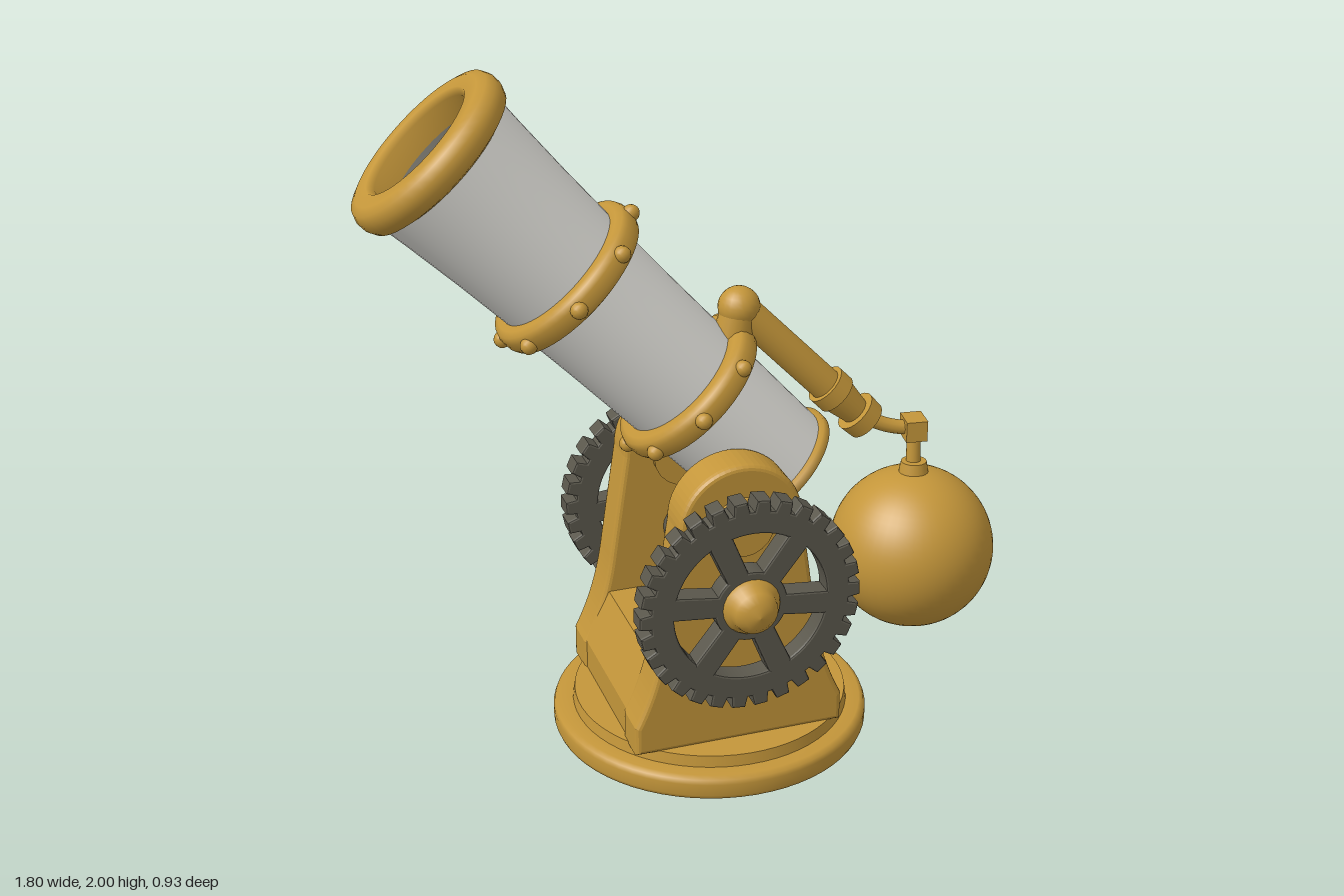
import * as THREE from 'three';

const mat = (name, color) => {
  const m = new THREE.MeshStandardMaterial({ color });
  m.name = name;
  return m;
};
const V = (x, y, z = 0) => new THREE.Vector3(x, y, z);

export function createModel() {
  const brass = mat('brass', 0xc4963a);
  const white = mat('white enamel', 0xe2e1db);
  const iron = mat('dark iron', 0x5b584d);
  const shade = mat('bore grey', 0x85837a);

  const root = new THREE.Group();
  root.name = 'telescopeCannon';
  const add = (parent, name, geo, material, x = 0, y = 0, z = 0) => {
    const m = new THREE.Mesh(geo, material);
    m.name = name;
    m.position.set(x, y, z);
    parent.add(m);
    return m;
  };
  const group = (name, x, y, z) => {
    const g = new THREE.Group();
    g.name = name;
    g.position.set(x, y, z);
    root.add(g);
    return g;
  };
  const lathe = (pts, seg = 48) => new THREE.LatheGeometry(pts.map(p => new THREE.Vector2(p[0], p[1])), seg);
  // Hoop with rounded outer edges, centred on y = 0
  const hoop = (ri, ro, h, b) => lathe([
    [ri, -h / 2], [ro - b, -h / 2], [ro - b * 0.3, -h / 2 + b * 0.3], [ro, -h / 2 + b],
    [ro, h / 2 - b], [ro - b * 0.3, h / 2 - b * 0.3], [ro - b, h / 2], [ri + b * 0.4, h / 2],
    [ri, h / 2 - b * 0.5], [ri, -h / 2]]);
  // Straight round bar between two points
  const rod = (parent, name, a, b, r1, r2, material) => {
    const d = b.clone().sub(a);
    const m = add(parent, name, new THREE.CylinderGeometry(r2, r1, d.length(), 20), material);
    m.position.copy(a).addScaledVector(d, 0.5);
    m.quaternion.setFromUnitVectors(V(0, 1), d.normalize());
    return m;
  };

  // Round base with a stepped top
  add(root, 'baseDisc', lathe([[0, 0], [0.445, 0], [0.458, 0.008], [0.463, 0.02], [0.463, 0.055],
    [0.458, 0.068], [0.445, 0.077], [0.4, 0.077]], 64), brass, 0.06);
  add(root, 'baseStep', new THREE.CylinderGeometry(0.4, 0.408, 0.05, 64), brass, 0.06, 0.086);

  // Turned carriage: two cheeks, a solid foot, axle and gears
  const carriage = group('carriage', 0.045, 0, 0);
  carriage.rotation.y = 0.14;

  const cheek = new THREE.Shape();
  cheek.moveTo(-0.295, 0.12);
  cheek.lineTo(0.295, 0.12);
  cheek.lineTo(0.295, 0.19);
  cheek.quadraticCurveTo(0.23, 0.32, 0.21, 0.48);
  cheek.lineTo(0.165, 0.79);
  cheek.absarc(0, 0.79, 0.165, 0, Math.PI, false);
  cheek.lineTo(-0.21, 0.48);
  cheek.quadraticCurveTo(-0.23, 0.32, -0.295, 0.19);
  cheek.closePath();
  const cheekGeo = new THREE.ExtrudeGeometry(cheek, {
    depth: 0.09, bevelThickness: 0.018, bevelSize: 0.015, bevelSegments: 3, curveSegments: 16 });
  cheekGeo.translate(0, 0, -0.045);

  const foot = new THREE.Shape([[-0.305, 0.1], [0.305, 0.1], [0.305, 0.2], [0.235, 0.36], [-0.235, 0.36], [-0.305, 0.2]]
    .map(p => new THREE.Vector2(p[0], p[1])));
  const footGeo = new THREE.ExtrudeGeometry(foot, { depth: 0.44, bevelEnabled: false });
  footGeo.translate(0, 0, -0.22);
  add(carriage, 'foot', footGeo, brass);

  // Spoked gear outline with trapezoid teeth and six windows
  const gear = new THREE.Shape();
  const teeth = 30;
  for (let i = 0; i < teeth; i++) {
    [[-0.32, 0.284], [-0.22, 0.316], [0.22, 0.316], [0.32, 0.284]].forEach(([o, r], k) => {
      const a = (i + o) / teeth * Math.PI * 2;
      gear[i + k ? 'lineTo' : 'moveTo'](Math.cos(a) * r, Math.sin(a) * r);
    });
  }
  gear.closePath();
  for (let i = 0; i < 6; i++) {
    const a = i * Math.PI / 3 - 0.12, b = a + Math.PI / 3;
    const h = new THREE.Path();
    h.absarc(0, 0, 0.228, a + 0.13, b - 0.13, false);
    h.absarc(0, 0, 0.1, b - 0.27, a + 0.27, true);
    h.closePath();
    gear.holes.push(h);
  }
  const gearGeo = new THREE.ExtrudeGeometry(gear, {
    depth: 0.05, bevelThickness: 0.008, bevelSize: 0.006, bevelSegments: 2, curveSegments: 8 });
  gearGeo.translate(0, 0, -0.025);

  const hubGeo = lathe([[0.085, -0.06], [0.085, 0.03], [0.078, 0.045], [0.068, 0.05], [0.062, 0.075], [0.04, 0.097], [0, 0.105]], 24);
  hubGeo.rotateX(Math.PI / 2);

  for (const s of [1, -1]) {
    const side = s > 0 ? 'front' : 'back';
    add(carriage, side + 'Cheek', cheekGeo, brass, 0, 0, s * 0.25);
    const wheel = new THREE.Group();
    wheel.name = side + 'Wheel';
    wheel.position.set(0, 0.58, s * 0.36);
    if (s < 0) wheel.rotation.y = Math.PI;
    carriage.add(wheel);
    add(wheel, 'gear', gearGeo, iron);
    add(wheel, 'hub', hubGeo, brass);
    // Trunnion boss carrying the barrel
    rod(carriage, side + 'Trunnion', V(0, 0.79, s * 0.16), V(0, 0.79, s * 0.335), 0.1, 0.085, brass);
  }
  rod(carriage, 'axle', V(0, 0.55, -0.3), V(0, 0.55, 0.3), 0.065, 0.065, iron);

  // Tilted barrel, built along its own y axis
  const barrel = group('barrel', -0.005, 1.08, 0);
  barrel.rotation.z = 0.76;
  add(barrel, 'tube', lathe([[0.178, -0.37], [0.186, 0], [0.193, 0.3], [0.2, 0.49], [0.21, 0.7], [0.222, 0.88], [0.232, 1]]), white);
  add(barrel, 'bore', lathe([[0.172, 1.03], [0.165, 0.8], [0.155, 0.35], [0, 0.35]]), shade);
  add(barrel, 'breechCap', lathe([[0, -0.425], [0.08, -0.415], [0.17, -0.39], [0.195, -0.38], [0.195, -0.355], [0.175, -0.35]]), brass);
  add(barrel, 'muzzleRim', hoop(0.17, 0.262, 0.095, 0.035), brass, 0, 1);
  [['upperBand', 0.485, 0.247], ['lowerBand', 0, 0.237]].forEach(([name, y, r]) => {
    add(barrel, name, hoop(0.17, r, 0.08, 0.025), brass, 0, y);
    for (let i = 0; i < 8; i++) {
      const a = i * Math.PI / 4;
      add(barrel, name + 'Stud', new THREE.SphereGeometry(0.024, 12, 8), brass, Math.cos(a) * r, y, Math.sin(a) * r);
    }
  });

  // Arm running down behind the barrel
  const arm = group('arm', 0, 0, 0);
  const top = V(0.14, 1.305, -0.005), low = V(0.515, 0.925, -0.005);
  const along = t => top.clone().lerp(low, t);
  rod(arm, 'armBracket', V(0.12, 1.2), V(0.14, 1.31), 0.06, 0.05, brass);
  add(arm, 'armKnuckle', new THREE.SphereGeometry(0.06, 20, 14), brass, 0.14, 1.305, -0.005);
  rod(arm, 'armTube', along(0), along(0.7), 0.048, 0.048, brass);
  rod(arm, 'armCollar', along(0.67), along(0.76), 0.062, 0.062, brass);
  rod(arm, 'armTaper', along(0.76), along(0.92), 0.055, 0.04, brass);
  rod(arm, 'armFlange', along(0.91), along(1), 0.064, 0.06, brass);

  // Bent rod, joint and hanging counterweight
  const bend = new THREE.CatmullRomCurve3([V(0.5, 0.945), V(0.56, 0.915), V(0.61, 0.9), V(0.66, 0.895)]);
  add(arm, 'bentRod', new THREE.TubeGeometry(bend, 16, 0.021, 10), brass);
  add(arm, 'joint', new THREE.BoxGeometry(0.062, 0.062, 0.075), brass, 0.656, 0.895, 0);
  rod(arm, 'hanger', V(0.656, 0.74, 0.015), V(0.656, 0.88, 0.003), 0.022, 0.02, brass);
  rod(arm, 'weightCollar', V(0.656, 0.75, 0.018), V(0.656, 0.795, 0.016), 0.045, 0.037, brass);
  add(arm, 'counterweight', new THREE.SphereGeometry(0.239, 48, 32), brass, 0.655, 0.528, 0.03);

  return root;
}
